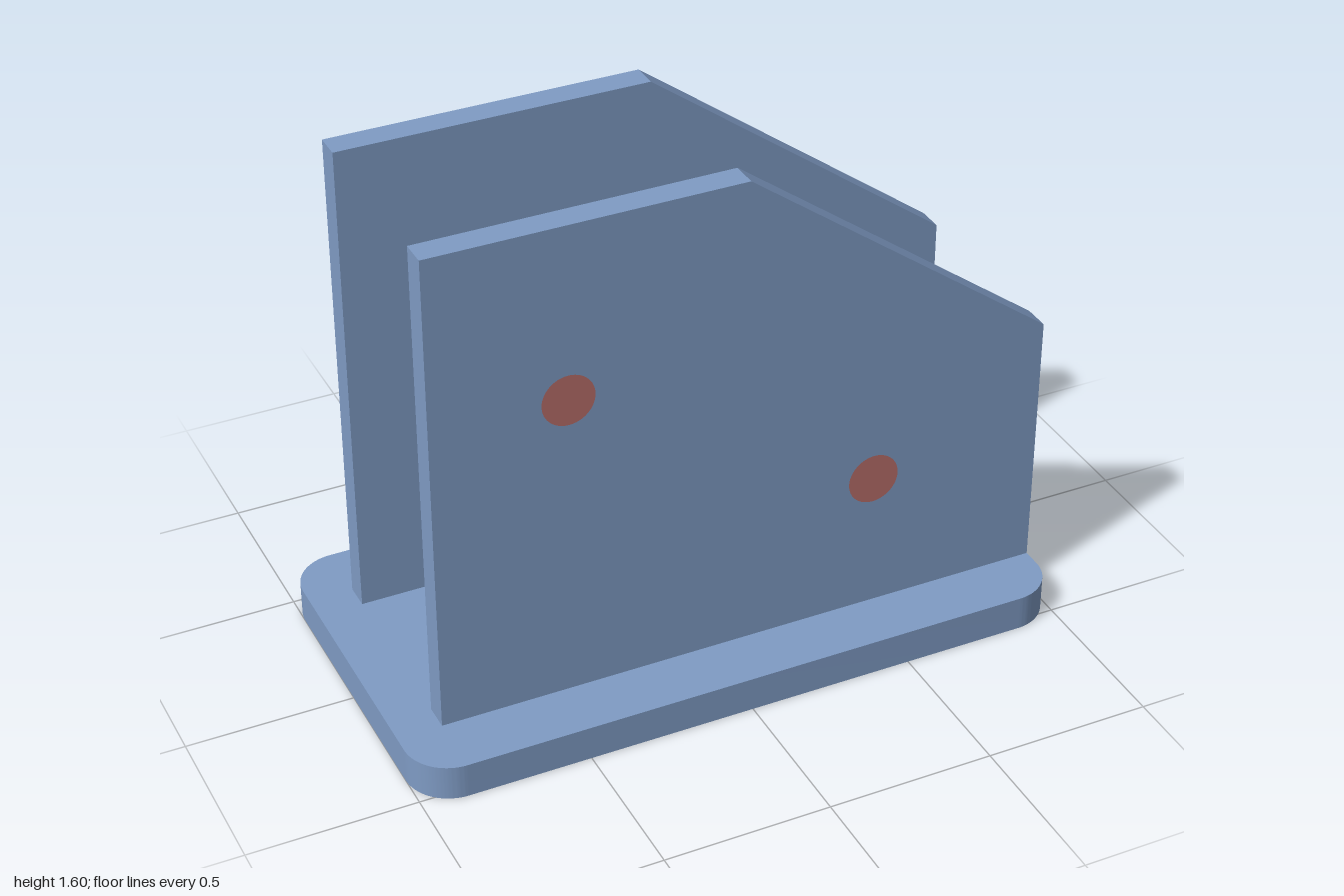
import * as THREE from 'three';
import { toCreasedNormals } from 'three/addons/utils/BufferGeometryUtils.js';

const BASE = { halfX: 1, halfZ: 0.533, height: 0.107, corner: 0.133 };
const PLATE = { thickness: 0.08, inner: 0.267 };
const PIN_RADIUS = 0.078;
const PINS = [[-0.467, 1.067], [0.467, 0.535]];

function extrude(shape, depth) {
  const geometry = new THREE.ExtrudeGeometry(shape, { depth, bevelEnabled: false, curveSegments: 24 });
  return toCreasedNormals(geometry, Math.PI / 6);
}

// Flat slab with rounded vertical corners
function baseGeometry() {
  const { halfX: x, halfZ: z, corner: r, height } = BASE;
  const shape = new THREE.Shape();
  shape.absarc(x - r, -z + r, r, -Math.PI / 2, 0);
  shape.absarc(x - r, z - r, r, 0, Math.PI / 2);
  shape.absarc(-x + r, z - r, r, Math.PI / 2, Math.PI);
  shape.absarc(-x + r, -z + r, r, Math.PI, Math.PI * 1.5);
  shape.closePath();
  return extrude(shape, height).rotateX(-Math.PI / 2);
}

// Upright plate with a sloped corner and two holes for the pins
function plateGeometry() {
  const outline = [[-0.867, BASE.height], [1, BASE.height], [1, 0.907], [0.064, 1.6], [-0.867, 1.6]];
  const shape = new THREE.Shape(outline.map(([x, y]) => new THREE.Vector2(x, y)));
  for (const [x, y] of PINS) {
    shape.holes.push(new THREE.Path().absarc(x, y, PIN_RADIUS, 0, Math.PI * 2, true));
  }
  return extrude(shape, PLATE.thickness);
}

export function createModel() {
  const blue = new THREE.MeshStandardMaterial({ color: 0x7f9bc4 });
  blue.name = 'steelBlue';
  const red = new THREE.MeshStandardMaterial({ color: 0xb86e6a });
  red.name = 'dustyRed';

  const model = new THREE.Group();
  model.name = 'bracket';
  const add = (parent, name, geometry, material) => {
    const mesh = new THREE.Mesh(geometry, material);
    mesh.name = name;
    parent.add(mesh);
    return mesh;
  };

  add(model, 'base', baseGeometry(), blue);

  const plate = plateGeometry();
  const pin = new THREE.CylinderGeometry(PIN_RADIUS, PIN_RADIUS, PLATE.thickness, 48).rotateX(Math.PI / 2);

  // Front and back plates, each with flush pins through it
  for (const [side, z] of [['front', PLATE.inner], ['back', -PLATE.inner - PLATE.thickness]]) {
    const group = new THREE.Group();
    group.name = `${side}Side`;
    group.position.z = z;
    add(group, `${side}Plate`, plate, blue);
    PINS.forEach(([x, y], i) => {
      add(group, `${side}${i ? 'Lower' : 'Upper'}Pin`, pin, red).position.set(x, y, PLATE.thickness / 2);
    });
    model.add(group);
  }
  return model;
}
